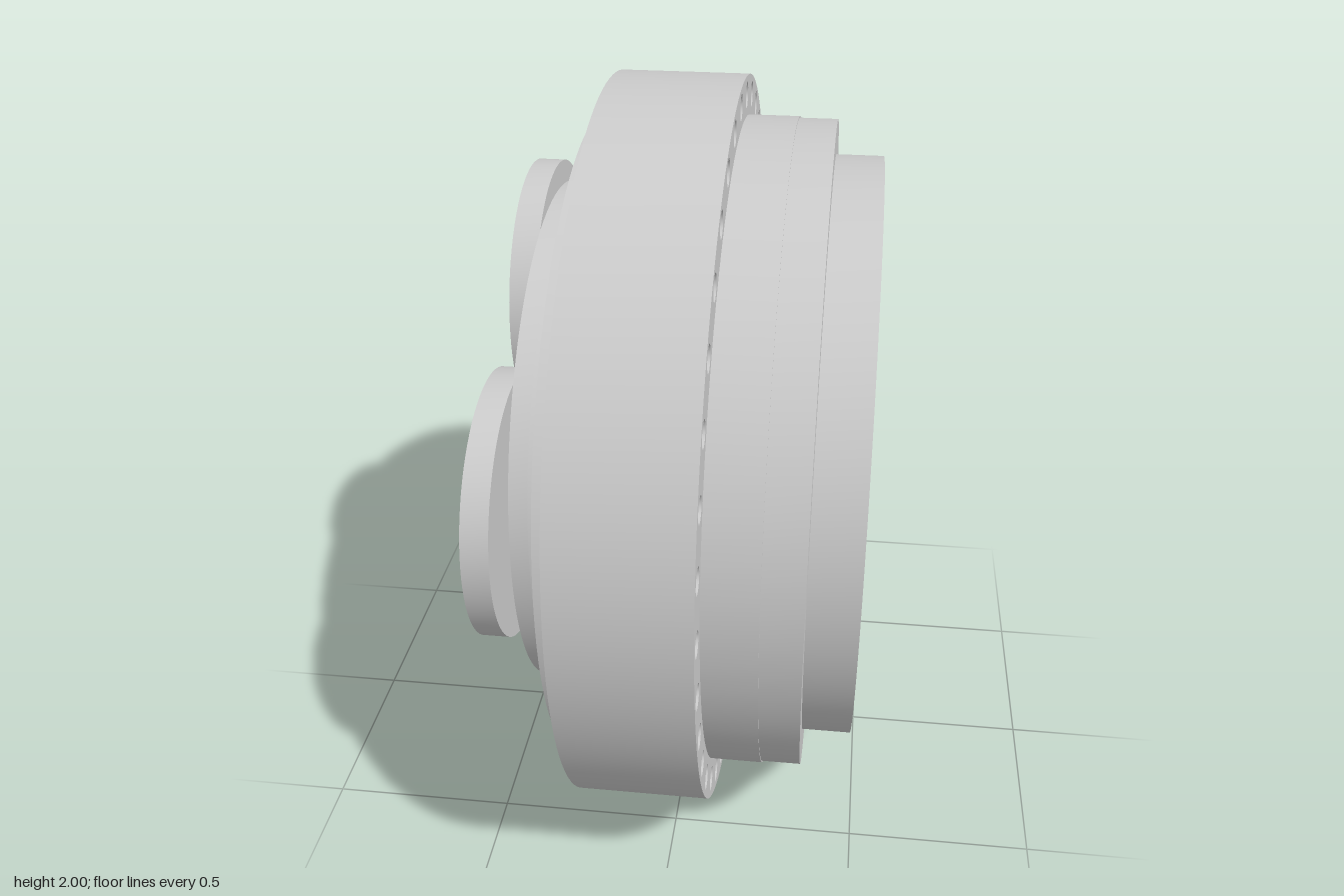
import * as THREE from 'three';
import { toCreasedNormals } from 'three/addons/utils/BufferGeometryUtils.js';

const grey = new THREE.MeshStandardMaterial({ color: 0xcccccc });
const greyInside = new THREE.MeshStandardMaterial({ color: 0xcccccc, side: THREE.DoubleSide });
const SIDES = 120;

// points of a circle around (cx, cy)
function circle(r, n, cx = 0, cy = 0) {
  return Array.from({ length: n }, (_, i) => {
    const a = (i / n) * Math.PI * 2;
    return new THREE.Vector2(cx + r * Math.cos(a), cy + r * Math.sin(a));
  });
}

function named(name, geometry, material = grey) {
  const mesh = new THREE.Mesh(geometry, material);
  mesh.name = name;
  return mesh;
}

// turned part: profile of [radius, position along the axis], axis along z
function turned(name, profile, sides = SIDES) {
  const g = new THREE.LatheGeometry(profile.map(([r, h]) => new THREE.Vector2(r, h)), sides);
  g.rotateX(Math.PI / 2);
  return named(name, toCreasedNormals(g, 0.5));
}

// flat ring from z0 to z1 with drilled holes
function drilledRing(name, outer, inner, z0, z1, holeRadius, centres) {
  const shape = new THREE.Shape(circle(outer, SIDES));
  shape.holes.push(new THREE.Path(circle(inner, SIDES)));
  centres.forEach(([x, y]) => shape.holes.push(new THREE.Path(circle(holeRadius, 20, x, y))));
  const g = new THREE.ExtrudeGeometry(shape, { depth: z1 - z0, bevelEnabled: false });
  g.translate(0, 0, z0);
  return named(name, toCreasedNormals(g, 0.5));
}

const polar = (r, degrees) => {
  const a = THREE.MathUtils.degToRad(degrees);
  return [r * Math.cos(a), r * Math.sin(a)];
};

export function createModel() {
  const model = new THREE.Group();
  model.name = 'planetaryGearbox';
  const unit = new THREE.Group();
  unit.name = 'gearUnit';
  unit.rotation.y = Math.PI / 2; // local z becomes the model's x axis
  unit.position.y = 1;
  model.add(unit);

  // stepped housing with a central bore
  unit.add(turned('housing', [
    [0.175, -0.375], [0.70, -0.375], [0.70, -0.325], [0.712, -0.325], [0.712, -0.275],
    [0.89, -0.275], [0.89, 0], [0.894, 0], [0.894, 0.25], [0.89, 0.25], [0.89, 0.352],
    [0.47, 0.352], [0.47, 0.415], [0.175, 0.415], [0.175, -0.375],
  ]));

  // outer flange with a full circle of through holes
  const flangeHoles = Array.from({ length: 36 }, (_, i) => polar(0.95, i * 10));
  unit.add(drilledRing('mountingFlange', 1, 0.86, -0.23, 0.113, 0.034, flangeHoles));

  // output plate with two arcs of blind holes
  const plateHoles = [];
  for (const middle of [90, 270]) {
    for (let i = -6; i <= 6; i++) plateHoles.push(polar(0.725, middle + i * 12));
  }
  unit.add(drilledRing('outputPlate', 0.797, 0.455, 0.35, 0.48, 0.035, plateHoles));

  // conical bottoms of the blind holes
  const tip = new THREE.ConeGeometry(0.035, 0.02, 20, 1, true);
  tip.rotateX(-Math.PI / 2);
  for (const [x, y] of plateHoles) {
    const cone = named('holeBottom', tip, greyInside);
    cone.position.set(x, y, 0.39);
    unit.add(cone);
  }

  // three planet wheels, each with a recessed face and a pin
  for (const angle of [60, 180, 300]) {
    const planet = new THREE.Group();
    planet.name = 'planet';
    const [x, y] = polar(0.409, angle);
    planet.position.set(x, y, 0);
    planet.add(turned('planetWheel', [
      [0, -0.455], [0.23, -0.455], [0.23, -0.483], [0.353, -0.483], [0.353, -0.412], [0, -0.412],
    ], 72));
    planet.add(turned('planetPin', [[0, -0.488], [0.04, -0.488], [0.04, -0.37], [0, -0.37]], 24));
    unit.add(planet);
  }
  return model;
}
